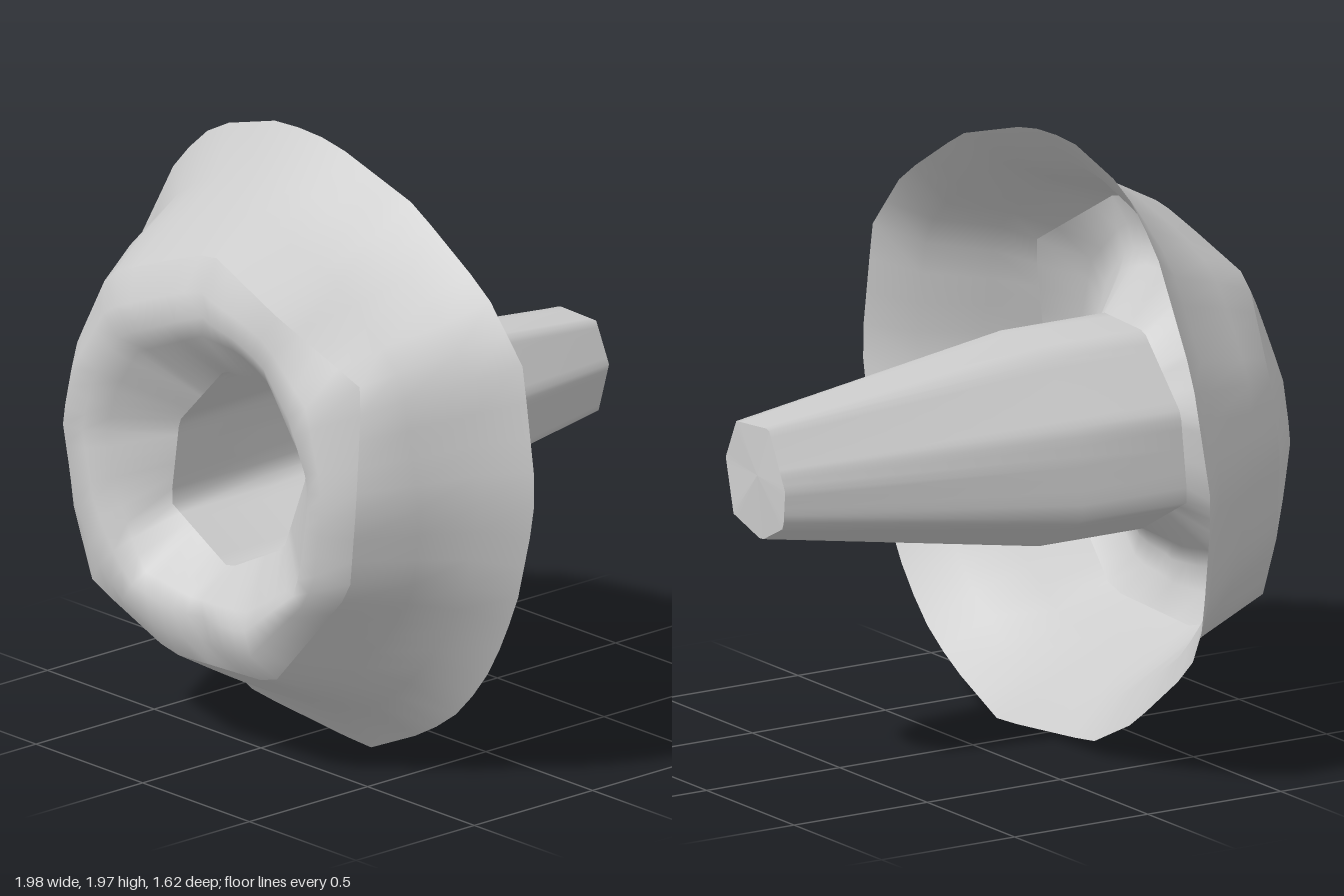
import * as THREE from 'three';

const COLS = 56;
const CENTRE_Y = 1;

// Corner loops as [x, y, z], all running around the axis at y = 1
const RIM = [[-0.19, 1.98], [0.05, 1.97], [0.43, 1.86], [0.77, 1.65], [0.94, 1.45], [1, 1.05], [0.98, 0.92],
  [0.91, 0.65], [0.8, 0.42], [0.66, 0.24], [0.49, 0.12], [0.22, 0], [-0.32, 0.05], [-0.55, 0.16],
  [-0.88, 0.41], [-0.95, 0.56], [-1, 0.97], [-0.89, 1.36], [-0.68, 1.73], [-0.5, 1.89]]
  .map(([x, y]) => [x, y, 0.24]);
const SHOULDER = [[-0.03, 1.68, 0.68], [0.36, 1.6, 0.77], [0.65, 1.4, 0.66], [0.7, 1.03, 0.73], [0.66, 0.74, 0.72],
  [0.29, 0.34, 0.71], [-0.19, 0.32, 0.71], [-0.5, 0.49, 0.76], [-0.63, 0.72, 0.73], [-0.69, 1.02, 0.7],
  [-0.65, 1.23, 0.69], [-0.46, 1.52, 0.73], [-0.2, 1.62, 0.7]];
const MOUTH = [[0, 1.43], [0.16, 1.42], [0.3, 1.37], [0.51, 1.08], [0.45, 0.72], [0.2, 0.56], [-0.06, 0.55],
  [-0.27, 0.58], [-0.4, 0.8], [-0.445, 1], [-0.4, 1.15], [-0.3, 1.3]].map(([x, y]) => [x, y, 0.75]);
const THROAT = [[-0.05, 1.27], [0.19, 1.28], [0.34, 1.03], [0.23, 0.75], [-0.03, 0.62], [-0.3, 0.77], [-0.26, 1.05]]
  .map(([x, y]) => [x, y, 0.61]);
const TIP = [[-0.05, 1.16, -0.8], [0.12, 1.15, -0.81], [0.18, 1.02, -0.81], [0.12, 0.85, -0.82],
  [-0.01, 0.79, -0.8], [-0.15, 0.86, -0.81], [-0.16, 0.98, -0.81]];

// Resample a corner loop at even angles, keeping its straight sides
function ring(corners) {
  return Array.from({ length: COLS }, (_, j) => {
    const a = (j / COLS) * Math.PI * 2 + 0.001, dx = Math.cos(a), dy = Math.sin(a);
    for (let k = 0; k < corners.length; k++) {
      const p = corners[k], q = corners[(k + 1) % corners.length];
      const cp = dx * (p[1] - CENTRE_Y) - dy * p[0];
      const cq = dx * (q[1] - CENTRE_Y) - dy * q[0];
      if (cp * cq > 0 || cp === cq) continue;
      const t = cp / (cp - cq);
      const v = new THREE.Vector3(...p).lerp(new THREE.Vector3(...q), t);
      if (v.x * dx + (v.y - CENTRE_Y) * dy > 0) return v;
    }
    return new THREE.Vector3(0, CENTRE_Y, corners[0][2]);
  });
}

// Ring part-way between two others, with its depth set by a value or a rule
function between(a, b, t, z) {
  return a.map((p, j) => {
    const v = p.clone().lerp(b[j], t);
    if (z !== undefined) v.z = typeof z === 'function' ? z((j / COLS) * Math.PI * 2) : z;
    return v;
  });
}

// Skin a row of closed rings
function skin(name, rings, material) {
  const pos = [], index = [];
  rings.forEach((r) => r.forEach((v) => pos.push(v.x, v.y, v.z)));
  for (let i = 0; i < rings.length - 1; i++) {
    for (let j = 0; j < COLS; j++) {
      const k = (j + 1) % COLS;
      const a = i * COLS + j, b = i * COLS + k, c = a + COLS, d = b + COLS;
      index.push(a, b, c, b, d, c);
    }
  }
  const g = new THREE.BufferGeometry();
  g.setAttribute('position', new THREE.Float32BufferAttribute(pos, 3));
  g.setIndex(index);
  g.computeVertexNormals();
  const mesh = new THREE.Mesh(g, material);
  mesh.name = name;
  return mesh;
}

export function createModel() {
  const group = new THREE.Group();
  group.name = 'trumpetFlower';
  const material = new THREE.MeshStandardMaterial({ color: 0xcccccc, side: THREE.DoubleSide });

  const rim = ring(RIM), shoulder = ring(SHOULDER), mouth = ring(MOUTH), throat = ring(THROAT), tip = ring(TIP);

  // Flared bell, open at the back
  group.add(skin('bell', [
    rim,
    between(rim, shoulder, 0.42, 0.36),
    between(rim, shoulder, 0.7, (a) => 0.54 + 0.025 * Math.sin(3 * a)),
    shoulder,
  ], material));

  // Rolled lip, dipping at top and bottom, turning in to the throat
  const dip = (a) => 0.75 + 0.055 * Math.sqrt(Math.abs(Math.cos(a)));
  group.add(skin('lip', [
    shoulder,
    between(shoulder, mouth, 0.4, dip),
    between(shoulder, mouth, 0.75, (a) => dip(a) - 0.005),
    mouth,
    throat,
  ], material));

  // Hollow tapering stem
  group.add(skin('stem', [throat, between(throat, throat, 0, 0.22), tip], material));

  // Closed end of the stem
  const centre = tip.map(() => new THREE.Vector3(0, CENTRE_Y, -0.81));
  group.add(skin('stemCap', [tip, centre], material));

  return group;
}
